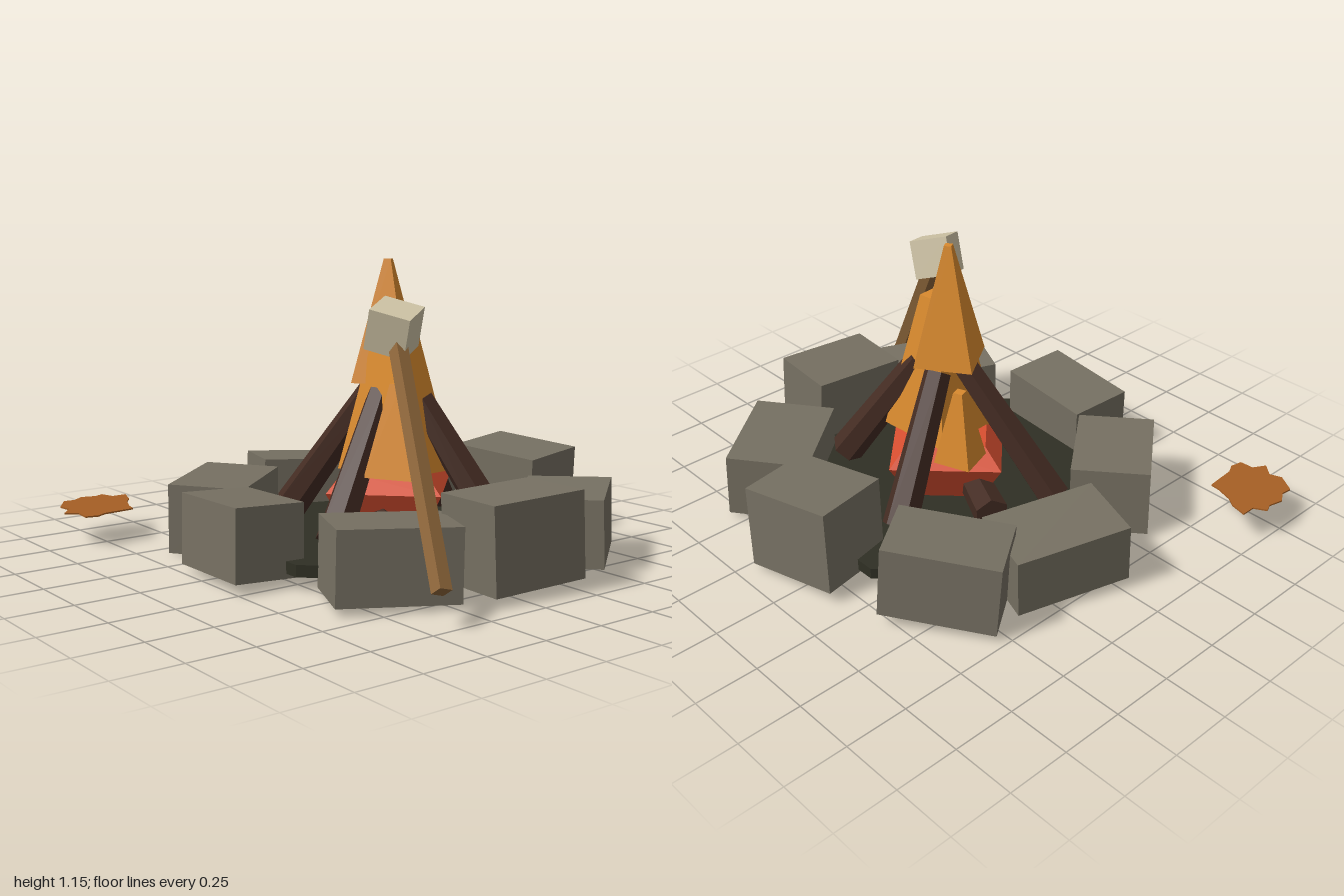
import * as THREE from 'three';

const mat = (name, color) => {
  const m = new THREE.MeshStandardMaterial({ color, flatShading: true });
  m.name = name;
  return m;
};

export function createModel() {
  const stone = mat('stone grey', 0x767062);
  const ash = mat('ash black', 0x2f2f24);
  const bark = mat('bark brown', 0x442c23);
  const ember = mat('ember red', 0xd94f30);
  const fire = mat('flame orange', 0xd98a2e);
  const wood = mat('stick brown', 0x8f673b);
  const cream = mat('marshmallow cream', 0xcfc4a6);
  const rust = mat('leaf rust', 0xa65f24);

  const model = new THREE.Group();
  model.name = 'campfire';
  const group = (name) => {
    const g = new THREE.Group();
    g.name = name;
    model.add(g);
    return g;
  };
  const add = (parent, name, geo, material) => {
    const m = new THREE.Mesh(geo, material);
    m.name = name;
    parent.add(m);
    return m;
  };

  // Ash bed: eight-sided slab with flat sides to the front
  const bed = add(model, 'ashBed', new THREE.CylinderGeometry(0.676, 0.676, 0.045, 8), ash);
  bed.position.set(0.07, 0.078, -0.063);
  bed.rotation.y = Math.PI / 8;

  // Ring of stones: x, z, long side, short side, long direction (dx, dz), bottom, top, tilt x, tilt z
  const ring = group('stoneRing');
  [
    [0.08, -0.73, 0.38, 0.32, 0.40, -0.085, 0.03, 0.36, 0.03, -0.08],
    [0.57, -0.53, 0.45, 0.33, 0.29, 0.36, 0.02, 0.28, 0.02, 0.02],
    [0.775, -0.06, 0.40, 0.30, -0.03, 0.40, 0.04, 0.36, 0.03, 0.02],
    [0.61, 0.365, 0.44, 0.31, -0.19, 0.41, 0.02, 0.285, -0.04, 0.02],
    [0.045, 0.605, 0.43, 0.275, 0.44, 0.035, 0.03, 0.30, -0.04, 0.04],
    [-0.42, 0.39, 0.43, 0.31, 0.27, 0.34, 0.01, 0.285, 0.01, -0.03],
    [-0.62, -0.15, 0.46, 0.30, -0.15, 0.45, 0.04, 0.28, -0.06, 0.02],
    [-0.465, -0.555, 0.44, 0.28, -0.365, 0.26, 0.04, 0.33, 0.04, 0.05],
  ].forEach(([x, z, long, short, dx, dz, y0, y1, tx, tz]) => {
    const s = add(ring, 'ringStone', new THREE.BoxGeometry(long, y1 - y0, short), stone);
    s.position.set(x, (y0 + y1) / 2, z);
    s.rotation.set(tx, Math.atan2(-dz, dx), tz, 'XZY');
  });

  // Aim a geometry built along y from point a to point b
  const UP = new THREE.Vector3(0, 1, 0);
  const span = (mesh, a, b) => {
    const p = new THREE.Vector3(...a), q = new THREE.Vector3(...b);
    mesh.position.copy(p).add(q).multiplyScalar(0.5);
    mesh.quaternion.setFromUnitVectors(UP, q.sub(p).normalize());
  };
  const dist = (a, b) => new THREE.Vector3(...a).distanceTo(new THREE.Vector3(...b));

  // Leaning logs and one lying across the bed
  const logs = group('logs');
  [
    [[-0.10, 0.14, -0.47], [0.03, 0.64, -0.15]],
    [[0.47, 0.14, -0.27], [0.16, 0.64, -0.12]],
    [[0.26, 0.14, 0.35], [0.11, 0.64, 0.01]],
    [[-0.36, 0.14, 0.11], [-0.01, 0.64, -0.04]],
    [[-0.31, 0.16, -0.18], [0.27, 0.16, 0.11]],
  ].forEach(([a, b]) => {
    const log = add(logs, 'log', new THREE.CylinderGeometry(0.053, 0.07, dist(a, b), 6), bark);
    span(log, a, b);
  });

  // Glowing embers: faceted four-sided mound
  const profile = [[0, 0.1], [0.2, 0.1], [0.31, 0.27], [0.22, 0.345], [0, 0.345]]
    .map(([r, y]) => new THREE.Vector2(r, y));
  const glow = add(model, 'embers', new THREE.LatheGeometry(profile, 4), ember);
  glow.position.set(0.07, 0, -0.065);

  // Flames: tapered four-sided columns. x, z, bottom, top, base radius, tip radius, yaw
  const flames = group('flames');
  [
    [0.04, -0.08, 0.675, 1.15, 0.162, 0.02, 0.6],
    [0.12, -0.055, 0.34, 0.91, 0.225, 0.075, 0.07],
    [0.285, 0.07, 0.355, 0.70, 0.135, 0.032, 0.5],
    [-0.15, -0.2, 0.355, 0.65, 0.105, 0.026, 0.35],
  ].forEach(([x, z, y0, y1, base, tip, yaw]) => {
    const f = add(flames, 'flame', new THREE.CylinderGeometry(tip, base, y1 - y0, 4), fire);
    f.position.set(x, (y0 + y1) / 2, z);
    f.rotation.y = Math.PI / 4 + yaw;
  });

  // Toasting stick with its marshmallow
  const low = [0.965, 0.125, 0.435], high = [0.40, 0.89, 0.17];
  const stick = add(model, 'toastingStick', new THREE.BoxGeometry(0.05, dist(low, high), 0.05), wood);
  span(stick, low, high);
  const treat = add(model, 'marshmallow', new THREE.BoxGeometry(0.155, 0.155, 0.155), cream);
  treat.position.set(0.38, 0.917, 0.163);
  treat.rotation.set(0.3, 0.5, -0.4);

  // Fallen leaf with a ragged edge
  const edge = [
    [-0.95, 0.56], [-0.88, 0.58], [-0.84, 0.61], [-0.77, 0.635], [-0.73, 0.64], [-0.72, 0.77],
    [-0.70, 0.81], [-0.71, 0.86], [-0.77, 0.86], [-0.80, 0.91], [-0.85, 0.865], [-0.90, 0.88],
    [-0.975, 0.83], [-0.97, 0.785], [-1.0, 0.74], [-0.985, 0.68], [-1.0, 0.645], [-0.95, 0.62],
  ].map(([x, z]) => new THREE.Vector2(x + 0.85, z - 0.735));
  const leafGeo = new THREE.ExtrudeGeometry(new THREE.Shape(edge), { depth: 0.006, bevelEnabled: false });
  leafGeo.rotateX(Math.PI / 2);
  const leaf = add(model, 'fallenLeaf', leafGeo, rust);
  leaf.position.set(-0.85, 0.135, 0.735);
  leaf.rotation.z = -0.05;

  return model;
}
